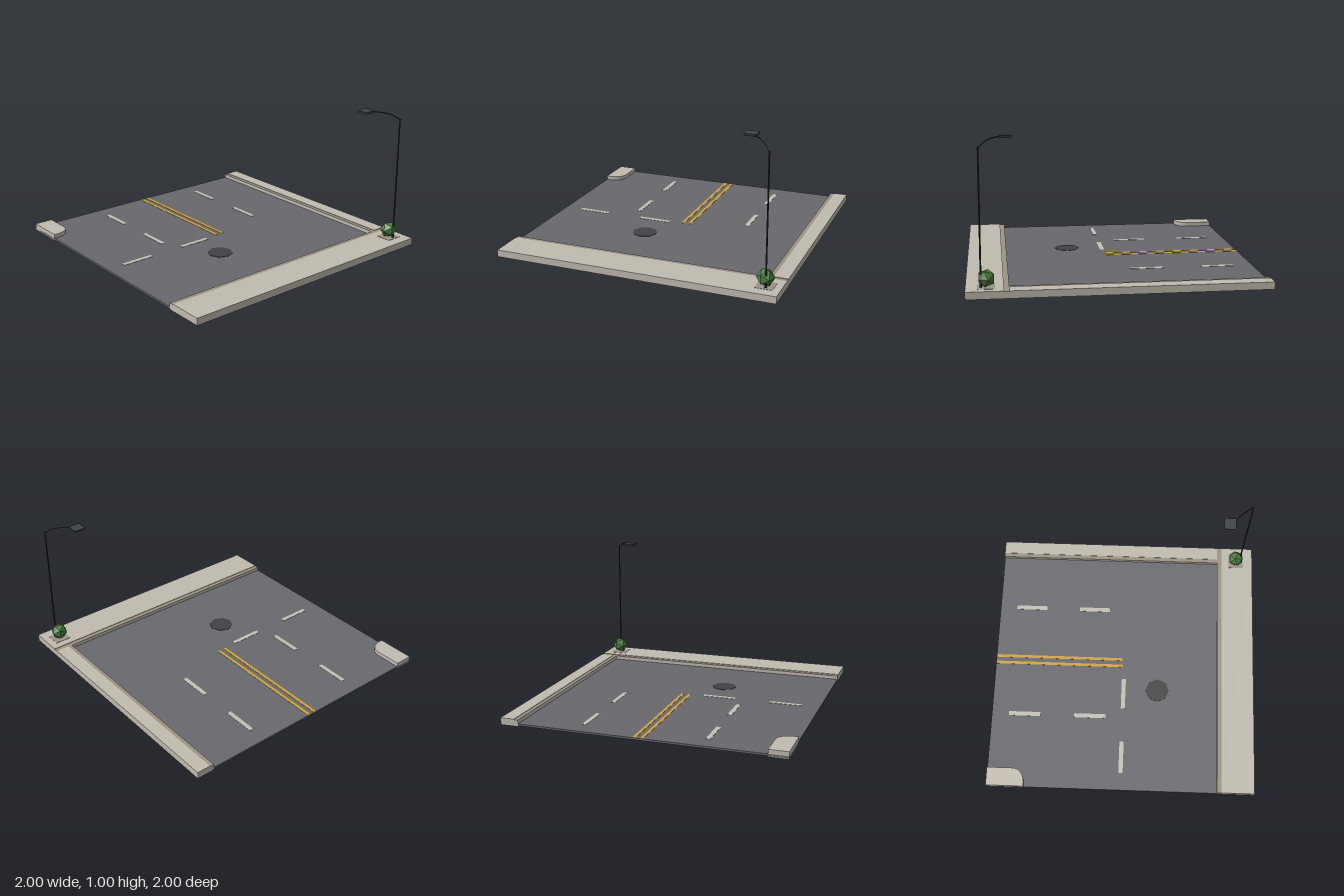
import * as THREE from 'three';

const mat = (name, color, side = THREE.FrontSide) => {
  const m = new THREE.MeshStandardMaterial({ color, side, flatShading: true });
  m.name = name;
  return m;
};

// Removes the faces lying on the lowest plane, leaving a shell open below
function openBottom(geometry) {
  const g = geometry.index ? geometry.toNonIndexed() : geometry;
  g.computeBoundingBox();
  const low = g.boundingBox.min.y + 1e-4;
  const p = g.attributes.position;
  const kept = [];
  for (let i = 0; i < p.count; i += 3) {
    if (p.getY(i) < low && p.getY(i + 1) < low && p.getY(i + 2) < low) continue;
    for (let j = i; j < i + 3; j++) kept.push(p.getX(j), p.getY(j), p.getZ(j));
  }
  const out = new THREE.BufferGeometry();
  out.setAttribute('position', new THREE.Float32BufferAttribute(kept, 3));
  out.computeVertexNormals();
  return out;
}

// Box given by its limits on each axis
function span(x0, x1, y0, y1, z0, z1) {
  return new THREE.BoxGeometry(x1 - x0, y1 - y0, z1 - z0)
    .translate((x0 + x1) / 2, (y0 + y1) / 2, (z0 + z1) / 2);
}

export function createModel() {
  const model = new THREE.Group();
  model.name = 'streetCorner';

  const concrete = mat('concrete', 0xc1bcb0, THREE.DoubleSide);
  const kerbStone = mat('kerbStone', 0x9c9485, THREE.DoubleSide);
  const asphalt = mat('asphalt', 0x68696d);
  const whitePaint = mat('whitePaint', 0xc3c0b4);
  const yellowPaint = mat('yellowPaint', 0xcfa23a);
  const iron = mat('iron', 0x434347);
  const lampMetal = mat('lampMetal', 0x2b2b2e);
  const leaves = mat('leaves', 0x4c8040);

  const add = (name, geometry, material) => {
    const mesh = new THREE.Mesh(geometry, material);
    mesh.name = name;
    model.add(mesh);
    return mesh;
  };

  // Road slab
  const roadTop = 0.02;
  add('road', span(-1, 0.72, 0.006, roadTop, -0.87, 1), asphalt);

  // Sidewalks, open underneath
  const top = 0.05;
  add('leftSidewalk', openBottom(span(0.755, 1, 0, top, -1, 1)), concrete);
  add('backSidewalk', openBottom(span(-1, 0.72, 0, top, -1, -0.9)), concrete);

  // Kerbs: concrete sides with a darker top
  const kerbs = [['leftKerb', 0.72, 0.755, -1, 1], ['backKerb', -1, 0.72, -0.9, -0.87]];
  for (const [name, x0, x1, z0, z1] of kerbs) {
    add(name, openBottom(span(x0, x1, 0, 0.045, z0, z1)), concrete);
    add(name + 'Top', span(x0, x1, 0.0445, 0.0465, z0, z1), kerbStone);
  }

  // Rounded corner sidewalk
  const corner = new THREE.Shape();
  corner.moveTo(-1, -1);
  corner.lineTo(-0.72, -1);
  corner.lineTo(-0.72, -0.965);
  corner.bezierCurveTo(-0.725, -0.91, -0.755, -0.865, -0.81, -0.865);
  corner.lineTo(-1, -0.865);
  corner.closePath();
  const cornerGeometry = new THREE.ExtrudeGeometry(corner, { depth: top, bevelEnabled: false, curveSegments: 8 });
  cornerGeometry.rotateX(-Math.PI / 2);
  add('cornerSidewalk', openBottom(cornerGeometry), concrete);

  // Lane markings
  const paint = (name, x0, x1, z0, z1, material) =>
    add(name, span(x0, x1, roadTop - 0.001, roadTop + 0.002, z0, z1), material);
  for (const start of [-0.87, -0.37]) {
    for (const z of [-0.44, 0.435]) paint('laneDash', start, start + 0.24, z - 0.016, z + 0.016, whitePaint);
  }
  for (const start of [0.13, 0.63]) paint('crossDash', -0.016, 0.016, start, start + 0.24, whitePaint);
  for (const z of [-0.028, 0.025]) paint('centreLine', -1, -0.015, z - 0.011, z + 0.011, yellowPaint);

  // Manhole cover
  add('manholeCover', new THREE.CylinderGeometry(0.09, 0.09, 0.004, 8), iron)
    .position.set(0.26, roadTop + 0.001, 0.215);

  // Planting square and shrub
  add('plantingSquare', span(0.81, 0.925, 0.048, 0.052, -0.95, -0.83), kerbStone);
  const shrub = new THREE.IcosahedronGeometry(0.062, 0);
  shrub.rotateZ(-0.365).rotateX(Math.PI / 6).scale(1, 0.97, 1);
  add('shrub', shrub, leaves).position.set(0.865, 0.107, -0.888);

  // Street lamp, with its arm reaching diagonally over the road
  const lamp = new THREE.Group();
  lamp.name = 'streetLamp';
  const part = (name, geometry, material) => {
    const mesh = new THREE.Mesh(geometry, material);
    mesh.name = name;
    lamp.add(mesh);
    return mesh;
  };
  part('pole', new THREE.CylinderGeometry(0.005, 0.006, 0.9, 8), lampMetal).position.y = 0.5;
  part('poleBase', new THREE.CylinderGeometry(0.007, 0.009, 0.03, 8), lampMetal).position.y = 0.065;
  const armPoints = [[0, 0.945], [0.035, 0.975], [0.08, 0.993], [0.13, 0.999], [0.17, 0.998]]
    .map(([d, y]) => new THREE.Vector3(-d, y, d));
  part('arm', new THREE.TubeGeometry(new THREE.CatmullRomCurve3(armPoints), 10, 0.004, 6), lampMetal);
  // Lamp head, narrower underneath
  const head = new THREE.CylinderGeometry(0.0613, 0.053, 0.016, 4).rotateY(Math.PI / 4);
  part('lampHead', head, iron).position.set(-0.173, 0.997, 0.167);
  lamp.position.set(0.9, 0, -0.9);
  model.add(lamp);

  return model;
}
